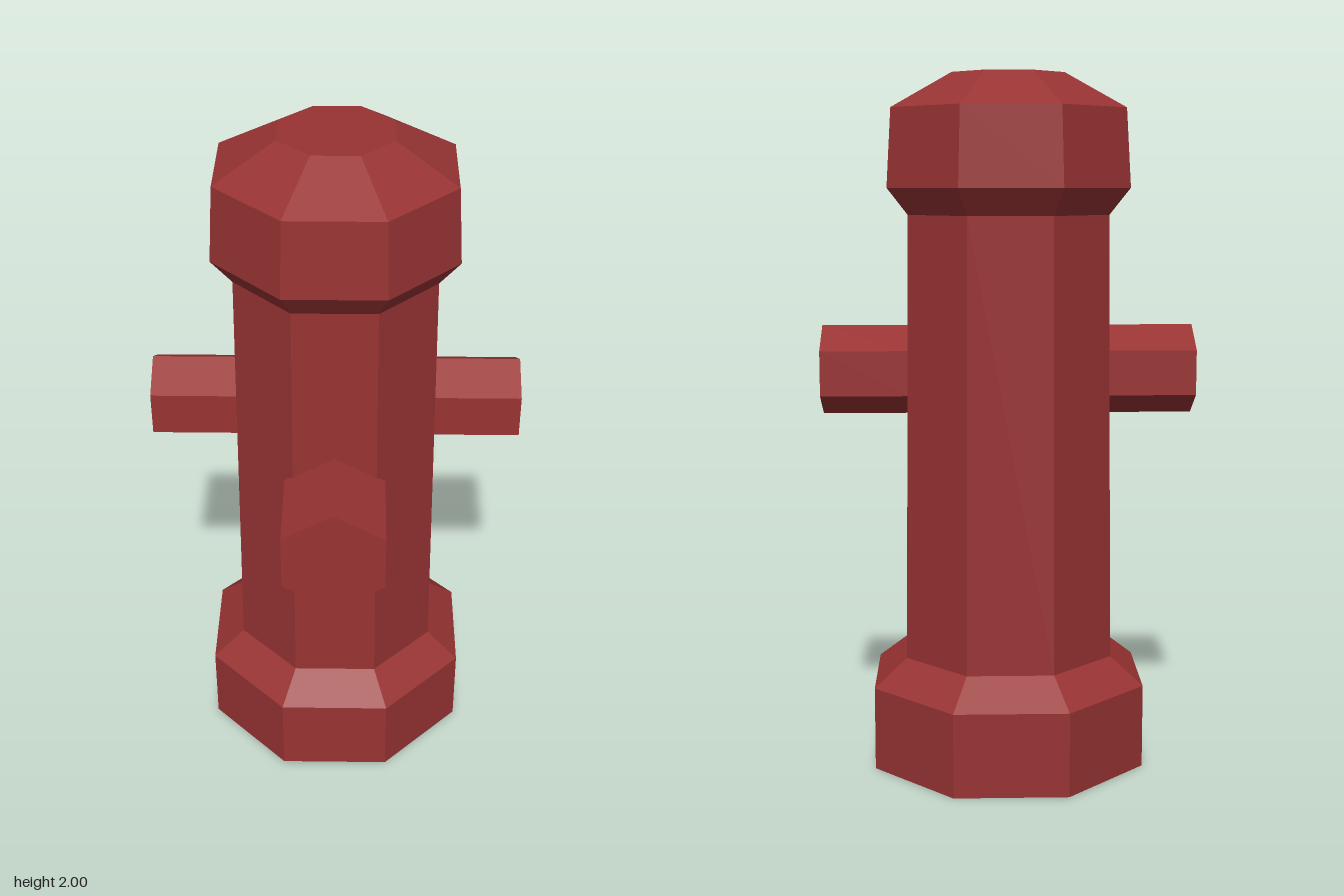
import * as THREE from 'three';

const AXIS_Z = -0.08; // centre line of the body

export function createModel() {
  const model = new THREE.Group();
  model.name = 'hydrant';
  const red = new THREE.MeshStandardMaterial({ color: 0x983333 });
  red.name = 'dark red';

  const add = (name, geometry, x, y, z) => {
    const flat = geometry.toNonIndexed();
    flat.computeVertexNormals();
    const mesh = new THREE.Mesh(flat, red);
    mesh.name = name;
    mesh.position.set(x, y, z);
    model.add(mesh);
  };

  // Octagonal section: profile gives [distance to the flat, height]
  const octagon = (name, profile) => {
    const points = profile.map(([a, y]) => new THREE.Vector2(a / Math.cos(Math.PI / 8), y));
    add(name, new THREE.LatheGeometry(points, 8, Math.PI / 8), 0, 0, AXIS_Z);
  };
  octagon('base', [[0, 0], [0.39, 0], [0.39, 0.243], [0.297, 0.322]]);
  octagon('barrel', [[0.297, 0.322], [0.283, 1.605]]);
  octagon('cap', [[0.283, 1.605], [0.34, 1.68], [0.327, 1.9], [0.158, 2], [0, 2]]);

  // Hexagonal side outlets, a corner pointing up
  for (const side of [1, -1]) {
    const outlet = new THREE.CylinderGeometry(0.129, 0.129, 0.255, 6, 1, false, Math.PI / 2);
    outlet.rotateZ(Math.PI / 2);
    add(side > 0 ? 'leftOutlet' : 'rightOutlet', outlet, side * 0.4095, 1.157, -0.083);
  }

  // Larger front outlet
  const front = new THREE.CylinderGeometry(0.167, 0.167, 0.27, 6);
  front.rotateX(Math.PI / 2);
  add('frontOutlet', front, 0, 0.966, 0.335);

  return model;
}
